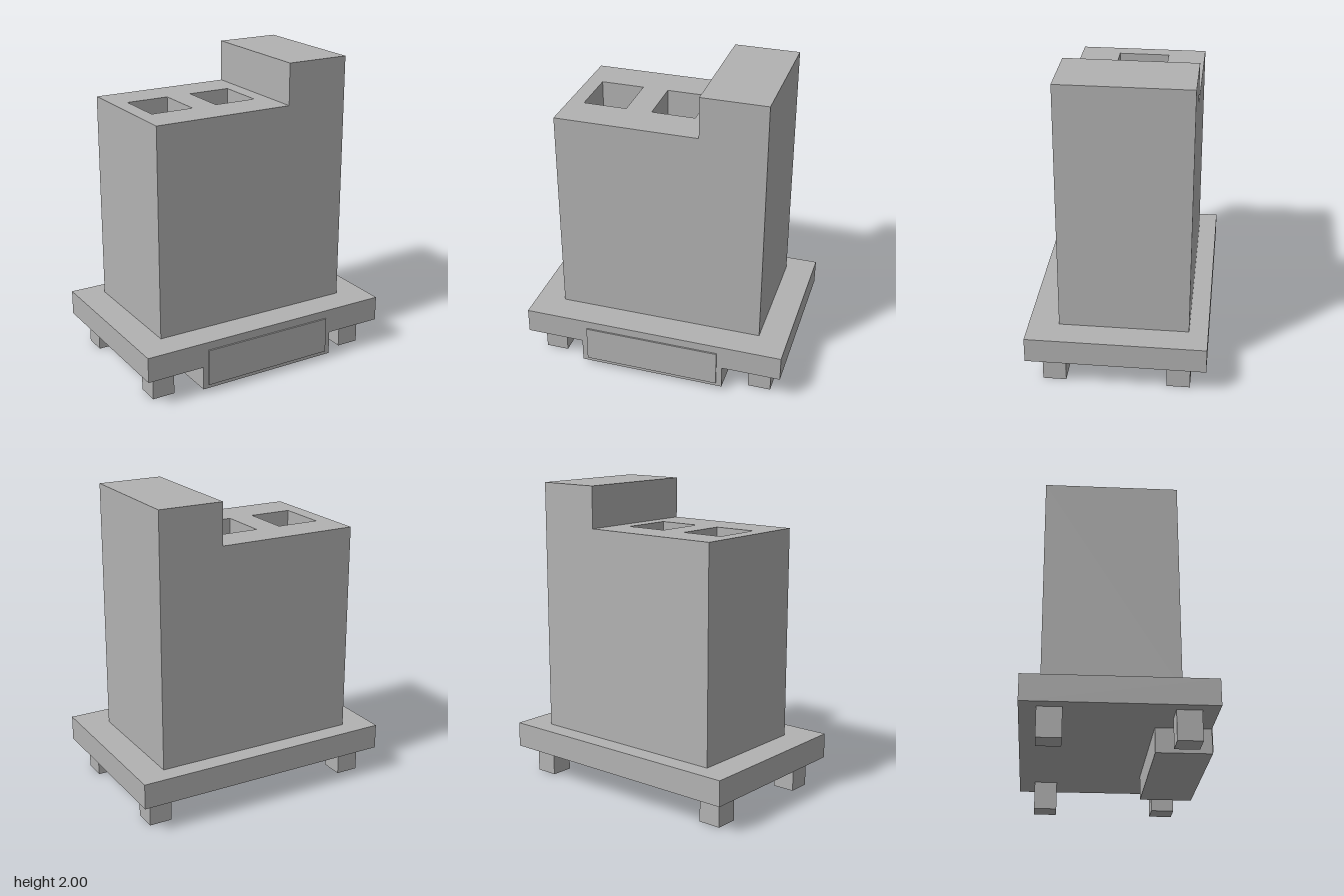
import * as THREE from 'three';

export function createModel() {
  const model = new THREE.Group();
  const grey = new THREE.MeshStandardMaterial({ color: 0xb2b2b2 });
  grey.name = 'grey';

  const add = (name, geometry) => {
    const mesh = new THREE.Mesh(geometry, grey);
    mesh.name = name;
    model.add(mesh);
    return mesh;
  };
  // Box given by its limits on each axis
  const box = (name, [x0, x1], [y0, y1], [z0, z1]) =>
    add(name, new THREE.BoxGeometry(x1 - x0, y1 - y0, z1 - z0))
      .position.set((x0 + x1) / 2, (y0 + y1) / 2, (z0 + z1) / 2);
  // Rectangle in plan; the shape's y is -z
  const rect = (path, [x0, x1], [z0, z1]) =>
    path.moveTo(x0, -z1).lineTo(x1, -z1).lineTo(x1, -z0).lineTo(x0, -z0).closePath();

  const plateTop = 0.35, plateBottom = 0.185;
  const bodyZ = [-0.458, 0.375];

  // Base plate
  box('basePlate', [-0.87, 0.87], [plateBottom, plateTop], [-0.58, 0.57]);

  // Lower body with two deep square shafts
  const plan = rect(new THREE.Shape(), [-0.68, 0.255], bodyZ);
  for (const shaftX of [[-0.578, -0.294], [-0.126, 0.158]]) {
    plan.holes.push(rect(new THREE.Path(), shaftX, [-0.215, 0.118]));
  }
  const body = new THREE.ExtrudeGeometry(plan, { depth: 1.73 - plateTop, bevelEnabled: false });
  body.rotateX(-Math.PI / 2).translate(0, plateTop, 0);
  add('body', body);

  // Taller block on the left side
  box('tower', [0.255, 0.68], [plateTop, 2], bodyZ);

  // Box under the front edge, with a raised panel on its face
  box('frontBox', [-0.485, 0.485], [0.03, plateBottom], [0.228, 0.57]);
  box('frontPanel', [-0.448, 0.448], [0.056, 0.296], [0.57, 0.58]);

  // Four square feet
  for (const x of [-0.716, 0.716]) {
    for (const z of [-0.403, 0.395]) {
      box('foot', [x - 0.075, x + 0.075], [0, plateBottom], [z - 0.075, z + 0.075]);
    }
  }
  return model;
}
